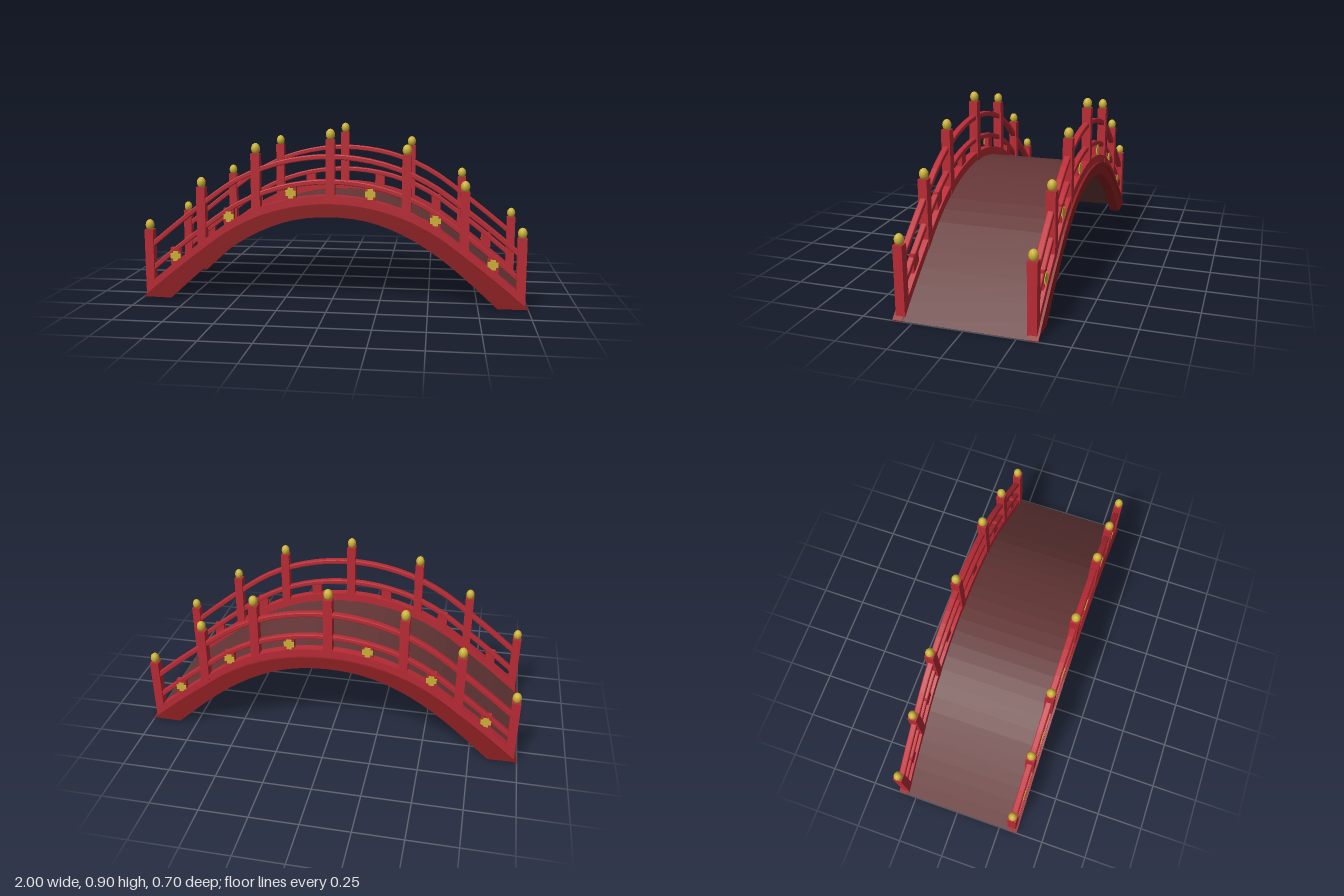
import * as THREE from 'three';

const mat = (name, color) => new THREE.MeshStandardMaterial({ name, color });

// Sample a symmetric spline y(x), given points for x >= 0
function symmetricCurve(half) {
  const mirrored = half.slice(1).reverse().map(([x, y]) => [-x, y]);
  const pts = new THREE.CatmullRomCurve3(
    [...mirrored, ...half].map(([x, y]) => new THREE.Vector3(x, y, 0))).getPoints(400);
  return (x) => {
    let i = 1;
    while (i < pts.length - 1 && pts[i].x < x) i++;
    const a = pts[i - 1], b = pts[i];
    return a.y + (b.y - a.y) * (x - a.x) / (b.x - a.x);
  };
}

// Walking surface and underside of the side beams
const deckY = symmetricCurve([[0, 0.515], [0.2, 0.495], [0.385, 0.44], [0.54, 0.36],
  [0.675, 0.262], [0.82, 0.15], [0.96, 0.034], [1, 0]]);
const underY = symmetricCurve([[0, 0.452], [0.2, 0.43], [0.385, 0.36], [0.54, 0.265],
  [0.675, 0.158], [0.85, 0]]);
const slope = (x) => (deckY(Math.min(x + 0.01, 1)) - deckY(Math.max(x - 0.01, -1))) / 0.02;

const sample = (x1, f, n = 28) => Array.from({ length: n + 1 }, (_, i) => {
  const x = -x1 + 2 * x1 * i / n;
  return new THREE.Vector2(x, Math.max(0, f(x)));
});

// Closed outline between two curves, extruded across the bridge
function arch(name, lower, upper, z, width, material, bevel = 0) {
  const shape = new THREE.Shape([...lower, ...upper.slice().reverse()]);
  const geo = new THREE.ExtrudeGeometry(shape, {
    depth: width - 2 * bevel, bevelEnabled: bevel > 0, bevelSegments: 2,
    bevelSize: bevel, bevelThickness: bevel, bevelOffset: -bevel,
  });
  geo.translate(0, 0, z - width / 2 + bevel);
  const mesh = new THREE.Mesh(geo, material);
  mesh.name = name;
  return mesh;
}

// Bar that follows the deck at a given height
function rail(name, x1, rise, thick, z, width, material, bevel) {
  const upper = sample(x1, (x) => deckY(x) + rise);
  const lower = sample(x1, (x) => deckY(x) + rise - thick * Math.hypot(1, slope(x)));
  return arch(name, lower, upper, z, width, material, bevel);
}

function crossShape(r, w) {
  return new THREE.Shape([[-w, -r], [w, -r], [w, -w], [r, -w], [r, w], [w, w],
    [w, r], [-w, r], [-w, w], [-r, w], [-r, -w], [-w, -w]].map((p) => new THREE.Vector2(...p)));
}

export function createModel() {
  const red = mat('railingRed', 0xb92b35);
  const darkRed = mat('beamRed', 0x8c1f22);
  const brown = mat('deckBrown', 0x643636);
  const gold = mat('gold', 0xccb236);
  const bridge = new THREE.Group();
  bridge.name = 'archedBridge';

  // Deck slab
  bridge.add(arch('deck', sample(0.975, (x) => deckY(x) - 0.025),
    sample(0.998, deckY), 0, 0.66, brown));

  const postGeo = (h) => new THREE.BoxGeometry(0.046, h, 0.047);
  const finialGeo = new THREE.SphereGeometry(0.0235, 10, 8).scale(1, 1.25, 1);
  const emblemGeo = new THREE.ExtrudeGeometry(crossShape(0.027, 0.014),
    { depth: 0.006, bevelEnabled: false });

  for (const side of [1, -1]) {
    const z = 0.317 * side;
    const railing = new THREE.Group();
    railing.name = side > 0 ? 'frontSide' : 'backSide';
    bridge.add(railing);

    // Load-bearing beam with a thin lip along its top edge
    railing.add(arch('sideBeam', sample(0.848, underY),
      sample(0.99, (x) => deckY(x) - 0.004), 0.316 * side, 0.056, darkRed));
    railing.add(rail('beamLip', 1, 0.004, 0.018, 0.326 * side, 0.05, darkRed));

    // Curb and the two handrails
    railing.add(rail('curb', 0.98, 0.047, 0.044, z, 0.044, red));
    railing.add(rail('middleRail', 0.96, 0.128, 0.026, z, 0.03, red, 0.005));
    railing.add(rail('topRail', 0.96, 0.255, 0.026, z, 0.032, red, 0.005));

    // Posts with finials
    for (const x of [-0.96, -0.675, -0.385, 0, 0.385, 0.675, 0.96]) {
      const top = deckY(x) + 0.33;
      const bottom = Math.max(0.015, deckY(x) - 0.02);
      const post = new THREE.Mesh(postGeo(top - bottom), red);
      post.name = 'post';
      post.position.set(x, (top + bottom) / 2, z);
      const finial = new THREE.Mesh(finialGeo, gold);
      finial.name = 'finial';
      finial.position.set(x, top + 0.023, z);
      railing.add(post, finial);
    }

    // Short struts between curb and middle rail, emblem on the outside
    for (const x of [-0.82, -0.53, -0.203, 0.203, 0.53, 0.82]) {
      const strut = new THREE.Mesh(new THREE.BoxGeometry(0.054, 0.105, 0.026), red);
      strut.name = 'strut';
      strut.position.set(x, deckY(x) + 0.067, z);
      const emblem = new THREE.Mesh(emblemGeo, gold);
      emblem.name = 'emblem';
      emblem.position.set(x, deckY(x) + 0.076, z + 0.0125 * side);
      if (side < 0) emblem.rotation.y = Math.PI;
      railing.add(strut, emblem);
    }
  }
  return bridge;
}
